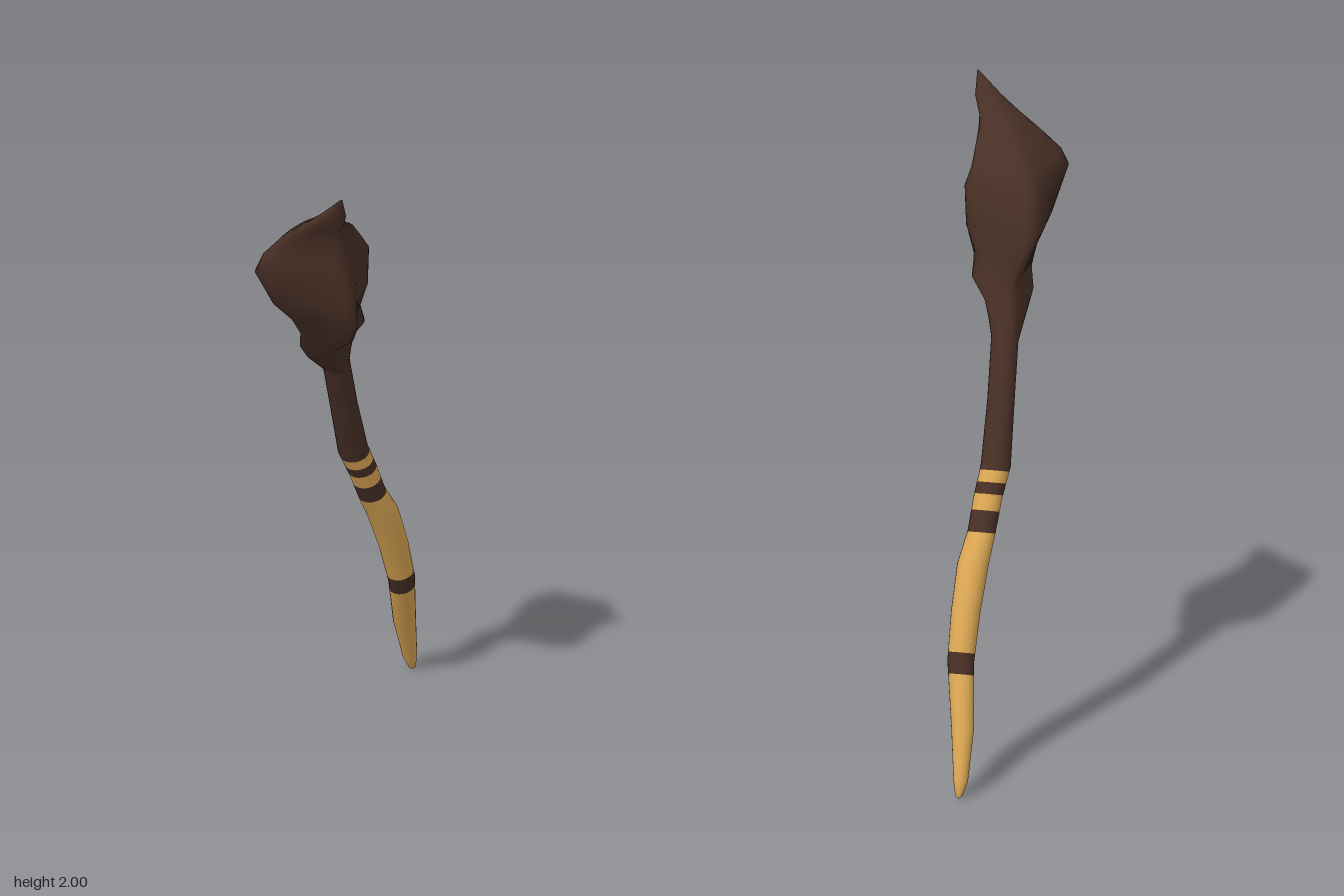
import * as THREE from 'three';

// Skin a stack of closed rings (bottom to top); slots gives a material index per gap
function loft(rings, slots = []) {
  const n = rings[0].length, pos = [], idx = [];
  const geo = new THREE.BufferGeometry();
  rings.forEach(r => r.forEach(p => pos.push(p.x, p.y, p.z)));
  for (let i = 0; i < rings.length - 1; i++) {
    if (slots.length) geo.addGroup(idx.length, n * 6, slots[i]);
    for (let j = 0; j < n; j++) {
      const a = i * n + j, b = i * n + (j + 1) % n;
      idx.push(a, a + n, b, b, a + n, b + n);
    }
  }
  geo.setAttribute('position', new THREE.Float32BufferAttribute(pos, 3));
  geo.setIndex(idx);
  geo.computeVertexNormals();
  return geo;
}

// Crooked shaft: y, centre x, centre z, radius
const SHAFT = [
  [0, 0.39, -0.437, 0.001],
  [0.008, 0.389, -0.436, 0.011],
  [0.05, 0.378, -0.428, 0.022],
  [0.2, 0.337, -0.37, 0.035],
  [0.38, 0.291, -0.28, 0.041],
  [0.52, 0.245, -0.232, 0.045],
  [0.65, 0.192, -0.185, 0.048],
  [0.74, 0.14, -0.15, 0.043],
  [0.83, 0.1, -0.118, 0.044],
  [0.92, 0.055, -0.09, 0.046],
  [1.1, 0, -0.027, 0.042],
  [1.28, -0.052, 0.037, 0.042],
  [1.42, -0.085, 0.09, 0.041],
];
// Dark intervals along the shaft: three wrapped bands and the upper grip
const DARK = [[0.345, 0.405], [0.735, 0.795], [0.84, 0.872], [0.905, 1.42]];

function shaftRing(y) {
  let i = 0;
  while (i < SHAFT.length - 2 && y > SHAFT[i + 1][0]) i++;
  const a = SHAFT[i], b = SHAFT[i + 1], t = (y - a[0]) / (b[0] - a[0]);
  const [cx, cz, r] = [1, 2, 3].map(k => THREE.MathUtils.lerp(a[k], b[k], t));
  return Array.from({ length: 20 }, (_, j) => {
    const w = j / 20 * Math.PI * 2, dx = r * Math.cos(w), dz = r * Math.sin(w);
    // rings lean to sit across the shaft
    return new THREE.Vector3(cx + dx, Math.max(0, y + 0.25 * (dx - dz)), cz + dz);
  });
}

// Head sections: y, then x and z of the right, front, left and back corners
const HEAD = [
  [1.25, -0.012, 0.035, -0.05, 0.075, -0.085, 0.03, -0.045, -0.012],
  [1.34, -0.014, 0.07, -0.1, 0.168, -0.175, 0.11, -0.07, 0.005],
  [1.39, -0.014, 0.095, -0.115, 0.2, -0.208, 0.13, -0.08, 0.03],
  [1.45, 0, 0.145, -0.11, 0.3, -0.222, 0.17, -0.095, 0.042],
  [1.52, -0.025, 0.165, -0.115, 0.358, -0.268, 0.215, -0.12, 0.022],
  [1.6, -0.008, 0.19, -0.135, 0.375, -0.345, 0.255, -0.14, 0],
  [1.72, -0.012, 0.21, -0.155, 0.378, -0.41, 0.265, -0.155, 0.04],
  [1.77, -0.045, 0.225, -0.165, 0.38, -0.385, 0.265, -0.165, 0.1],
  [1.83, -0.09, 0.27, -0.175, 0.388, -0.33, 0.29, -0.185, 0.178],
  [1.88, -0.155, 0.345, -0.19, 0.408, -0.288, 0.35, -0.21, 0.285],
  [1.93, -0.17, 0.405, -0.195, 0.433, -0.248, 0.4, -0.21, 0.365],
  [2, -0.196, 0.449, -0.198, 0.45, -0.2, 0.449, -0.198, 0.448],
];

function headRing([y, ...v]) {
  const corners = [0, 2, 4, 6].map(k => new THREE.Vector3(v[k], y, v[k + 1]));
  const centre = corners.reduce((s, p) => s.add(p), new THREE.Vector3()).divideScalar(4);
  // round at the neck and tip, angular in the middle with hollows beside the front ridge
  const bulk = THREE.MathUtils.smoothstep(y, 1.25, 1.46) * (1 - THREE.MathUtils.smoothstep(y, 1.78, 1.95));
  const hollow = [0.16, 0.12, 0, 0];
  const points = corners.flatMap((p, k) => {
    const push = 1.36 - (0.24 + hollow[k]) * bulk;
    const mid = p.clone().lerp(corners[(k + 1) % 4], 0.5).sub(centre).multiplyScalar(push).add(centre);
    return [p, mid];
  });
  const curve = new THREE.CatmullRomCurve3(points, true, 'catmullrom', 0.4);
  return Array.from({ length: 32 }, (_, j) => curve.getPoint(j / 32));
}

export function createModel() {
  const tan = new THREE.MeshStandardMaterial({ color: 0xdaa653 });
  tan.name = 'pale wood';
  const brown = new THREE.MeshStandardMaterial({ color: 0x472f25 });
  brown.name = 'dark brown';

  // Shaft with flush dark bands
  const levels = [...new Set([...SHAFT.map(s => s[0]), ...DARK.flat()])].sort((a, b) => a - b);
  const slots = levels.slice(1).map((y, i) => {
    const middle = (y + levels[i]) / 2;
    return DARK.some(([a, b]) => middle > a && middle < b) ? 1 : 0;
  });
  const shaft = new THREE.Mesh(loft(levels.map(shaftRing), slots), [tan, brown]);
  shaft.name = 'bandedShaft';

  // Gnarled head rising to a forward-leaning point
  const head = new THREE.Mesh(loft(HEAD.map(headRing)), brown);
  head.name = 'gnarledHead';

  const group = new THREE.Group();
  group.name = 'woodenClub';
  group.add(shaft, head);
  return group;
}
